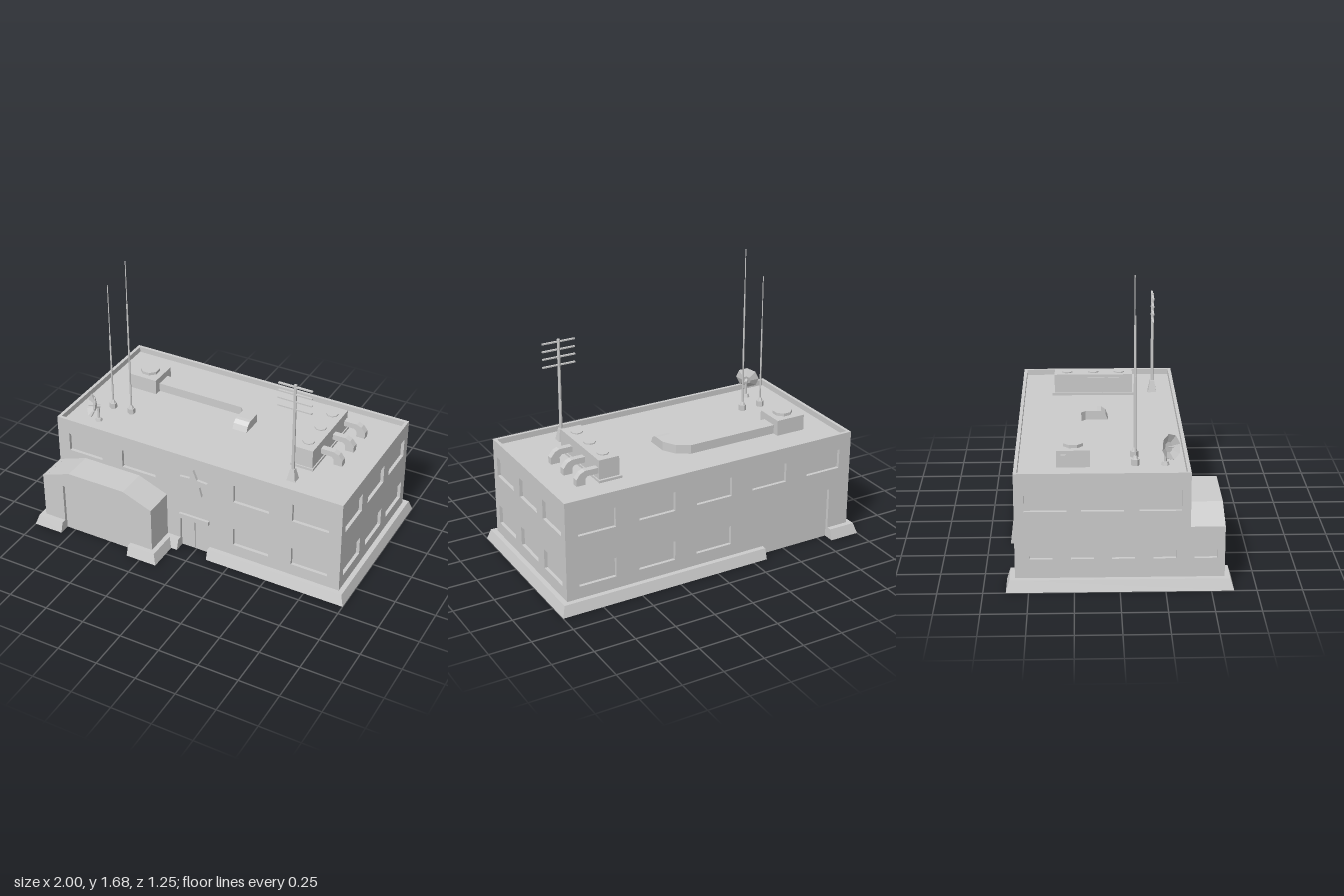
import * as THREE from 'three';

const mat = new THREE.MeshStandardMaterial({ color: 0xcccccc, flatShading: true });
const T = 0.02; // wall thickness, also the depth of window and door recesses
const ROOF = 0.64, TOP = 0.675;

export function createModel() {
  const root = new THREE.Group();

  const add = (name, geo, x = 0, y = 0, z = 0, parent = root) => {
    const m = new THREE.Mesh(geo, mat);
    m.name = name;
    m.position.set(x, y, z);
    parent.add(m);
    return m;
  };
  // box given by its min and max corners
  const box = (name, x0, x1, y0, y1, z0, z1, parent) =>
    add(name, new THREE.BoxGeometry(x1 - x0, y1 - y0, z1 - z0), (x0 + x1) / 2, (y0 + y1) / 2, (z0 + z1) / 2, parent);
  const poly = pts => new THREE.Shape(pts.map(p => new THREE.Vector2(...p)));
  const extrude = (shape, depth) => new THREE.ExtrudeGeometry(shape, { depth, bevelEnabled: false });
  const rect = (x0, x1, y0, y1) => [[x0, y0], [x1, y0], [x1, y1], [x0, y1]];
  // wall panel with openings, facing +z at distance d, then turned about y
  const wall = (name, outline, holes, d, turn = 0) => {
    const s = poly(outline);
    holes.forEach(h => s.holes.push(new THREE.Path(rect(...h).reverse().map(p => new THREE.Vector2(...p)))));
    add(name, extrude(s, T).translate(0, 0, d - T)).rotation.y = turn;
  };
  const windows = (centres, y, w = 0.232, h = 0.12) =>
    centres.map(c => [c - w / 2, c + w / 2, y - h / 2, y + h / 2]);
  // wall outline with a doorway cut from its foot
  const withDoor = (x0, x1, h, a, b, dh) =>
    [[x0, 0], [a, 0], [a, dh], [b, dh], [b, 0], [x1, 0], [x1, h], [x0, h]];

  // main block: core carries the roof deck, the walls rise above it as a parapet
  const UP = 0.515, LOW = 0.2;
  box('buildingCore', -0.93, 0.93, 0, ROOF, -0.555, 0.365);
  wall('frontWall', withDoor(-0.95, 0.95, TOP, -0.1, 0.1, 0.21),
    [...windows([-0.755, -0.38, 0.375, 0.755], UP), ...windows([0.375, 0.755], LOW)], 0.385);
  wall('backWall', withDoor(-0.95, 0.95, TOP, 0.34, 0.81, 0.325),
    [...windows([-0.755, -0.375, 0, 0.375, 0.755], UP), ...windows([-0.755, -0.375, 0], LOW)], 0.575, Math.PI);
  const sideZ = [-0.405, -0.095, 0.22];
  wall('leftWall', rect(-0.365, 0.555, 0, TOP),
    [...windows(sideZ.map(z => -z), UP), ...windows(sideZ.map(z => -z), LOW)], 0.95, Math.PI / 2);
  wall('rightWall', rect(-0.555, 0.365, 0, TOP),
    [...windows(sideZ, UP), ...windows([-0.43, -0.205, 0.02, 0.245], LOW, 0.125, 0.05)], 0.95, -Math.PI / 2);

  // garage bay with a bent roof
  const crown = [[-0.19, 0.355], [-0.38, 0.43], [-0.76, 0.43], [-0.95, 0.36]];
  add('garageCore', extrude(poly([[-0.93, 0], [-0.19, 0], [-0.19, 0.355], [-0.38, 0.43], [-0.76, 0.43], [-0.93, 0.367]]), 0.18), 0, 0, 0.375);
  add('garageRoofEdge', extrude(poly([[-0.95, 0.335], [-0.92, 0.335], [-0.92, 0.371], [-0.95, 0.36]]), 0.17), 0, 0, 0.385);
  wall('garageFrontWall', [[-0.95, 0], [-0.81, 0], [-0.81, 0.325], [-0.34, 0.325], [-0.34, 0], [-0.19, 0], ...crown], [], 0.575);
  wall('garageSideWall', rect(0.365, 0.555, 0, 0.335), windows([0.47], LOW, 0.125, 0.05), 0.95, -Math.PI / 2);

  // sloped plinth: a mitred cross-section along [x, z, outward x, outward z] stations
  const plinth = path => {
    const section = [[0, 0], [0.05, 0], [0.03, 0.065], [0, 0.065]];
    const rings = path.map(([x, z, ox, oz]) => section.map(([o, y]) => [x + ox * o, y, z + oz * o]));
    const v = [];
    const quad = (a, b, c, d) => v.push(...a, ...b, ...c, ...a, ...c, ...d);
    for (let i = 0; i + 1 < rings.length; i++) {
      const p = rings[i], n = rings[i + 1];
      for (let k = 0; k < 4; k++) quad(p[k], p[(k + 1) % 4], n[(k + 1) % 4], n[k]);
    }
    const s = rings[0], e = rings[rings.length - 1];
    quad(s[3], s[2], s[1], s[0]);
    quad(e[0], e[1], e[2], e[3]);
    const g = new THREE.BufferGeometry();
    g.setAttribute('position', new THREE.Float32BufferAttribute(v, 3));
    g.computeVertexNormals();
    add('plinth', g);
  };
  plinth([[-0.81, 0.575, 0, 1], [-0.95, 0.575, -1, 1], [-0.95, -0.575, -1, -1], [-0.81, -0.575, 0, -1]]);
  plinth([[-0.34, -0.575, 0, -1], [0.95, -0.575, 1, -1], [0.95, 0.385, 1, 1], [0.1, 0.385, 0, 1]]);
  plinth([[-0.1, 0.385, 0, 1], [-0.19, 0.385, 1, 1], [-0.19, 0.575, 1, 1], [-0.34, 0.575, 0, 1]]);

  // entrance doors, canopy and star
  for (const s of [-1, 1]) box('doorLeaf', s * 0.052 - 0.044, s * 0.052 + 0.044, 0.01, 0.205, 0.36, 0.374);
  box('doorCanopy', -0.1, 0.1, 0.232, 0.258, 0.38, 0.402);
  const starPts = Array.from({ length: 10 }, (_, i) => {
    const r = i % 2 ? 0.042 : 0.095, a = Math.PI / 2 + i * Math.PI / 5;
    return [r * Math.cos(a), r * Math.sin(a)];
  });
  add('wallStar', extrude(poly(starPts), 0.022), 0, 0.505, 0.38);

  // octagonal fan cap
  const fan = (x, y, z, r, h) =>
    add('fanCap', new THREE.CylinderGeometry(r, r, h, 8).rotateY(Math.PI / 8), x, y + h / 2, z);

  // air conditioner with its duct along the roof
  box('airConditioner', -0.765, -0.577, ROOF, 0.737, -0.345, -0.16);
  box('sideVent', -0.775, -0.76, 0.68, 0.715, -0.32, -0.29);
  fan(-0.67, 0.737, -0.252, 0.06, 0.018);
  add('duct', extrude(poly([[-0.58, -0.305], [0, -0.305], [0.075, -0.26], [0.12, -0.18], [0.12, -0.11],
    [0.025, -0.11], [0.025, -0.18], [0, -0.205], [-0.58, -0.205]]), 0.055).rotateX(Math.PI / 2), 0, 0.695, 0);
  add('ductOutlet', extrude(poly([[0.11, 0], [0.11, 0.055], [0.085, 0.053], [0.06, 0.035], [0.045, 0]]), 0.095)
    .rotateY(Math.PI / 2), 0.025, ROOF, 0);

  // ventilation unit with three fans and three bent pipes
  box('ventBase', 0.495, 0.64, ROOF, 0.655, -0.385, 0.125);
  box('ventUnit', 0.505, 0.633, 0.65, 0.773, -0.37, 0.117);
  const elbow = poly([[0, 0.05], [0, 0.085], [0.085, 0.085], [0.115, 0.072], [0.14, 0.04], [0.14, 0], [0.085, 0], [0.085, 0.035], [0.07, 0.05]]);
  for (let i = 0; i < 3; i++) {
    const z = 0.035 - i * 0.163;
    fan(0.568, 0.773, z, 0.036, 0.007);
    box('ventPanel', 0.5, 0.51, 0.668, 0.755, z - 0.07, z + 0.07);
    add('ventPipe', extrude(elbow, 0.038), 0.63, ROOF, z - 0.07);
  }

  // whip antennas
  for (const [x, mid, tip] of [[-0.735, 1.15, 1.49], [-0.605, 1.4, 1.68]]) {
    add('antennaBase', new THREE.CylinderGeometry(0.024, 0.024, 0.035, 6), x, ROOF + 0.0175, 0.09);
    add('antennaCollar', new THREE.CylinderGeometry(0.009, 0.017, 0.02, 6), x, ROOF + 0.045, 0.09);
    add('antennaLower', new THREE.CylinderGeometry(0.005, 0.006, mid - ROOF, 6), x, (mid + ROOF) / 2, 0.09);
    add('antennaTip', new THREE.CylinderGeometry(0.003, 0.003, tip - mid, 5), x, (tip + mid) / 2, 0.09);
  }

  // mast with crossbars
  add('mastFoot', new THREE.CylinderGeometry(0.018, 0.038, 0.075, 4).rotateY(Math.PI / 4), 0.57, ROOF + 0.0375, 0.245);
  add('mast', new THREE.CylinderGeometry(0.009, 0.01, 0.64, 6), 0.57, 0.96, 0.245);
  for (const y of [1.12, 1.17, 1.217, 1.265])
    box('crossbar', 0.465, 0.675, y - 0.004, y + 0.004, 0.239, 0.251);

  // dish aimed outward over the front corner
  const dish = new THREE.Group();
  dish.name = 'dish';
  dish.position.set(-0.755, 0.75, 0.275);
  dish.quaternion.setFromUnitVectors(new THREE.Vector3(0, 1, 0), new THREE.Vector3(-0.68, 0.28, 0.68).normalize());
  root.add(dish);
  const bowl = [[0, -0.012], [0.028, -0.012], [0.073, 0.012], [0.073, 0.017], [0.03, -0.004], [0, -0.004]];
  add('dishBowl', new THREE.LatheGeometry(bowl.map(p => new THREE.Vector2(...p)), 8), 0, 0, 0, dish);
  add('dishFeed', new THREE.CylinderGeometry(0.003, 0.003, 0.04, 5), 0, 0.015, 0, dish);
  add('dishMount', new THREE.CylinderGeometry(0.012, 0.012, 0.03, 6), 0, -0.025, 0, dish);
  add('dishPost', new THREE.CylinderGeometry(0.008, 0.008, 0.11, 6), -0.735, ROOF + 0.055, 0.255);
  add('dishFoot', new THREE.CylinderGeometry(0.018, 0.024, 0.02, 6), -0.735, ROOF + 0.01, 0.255);

  return root;
}
